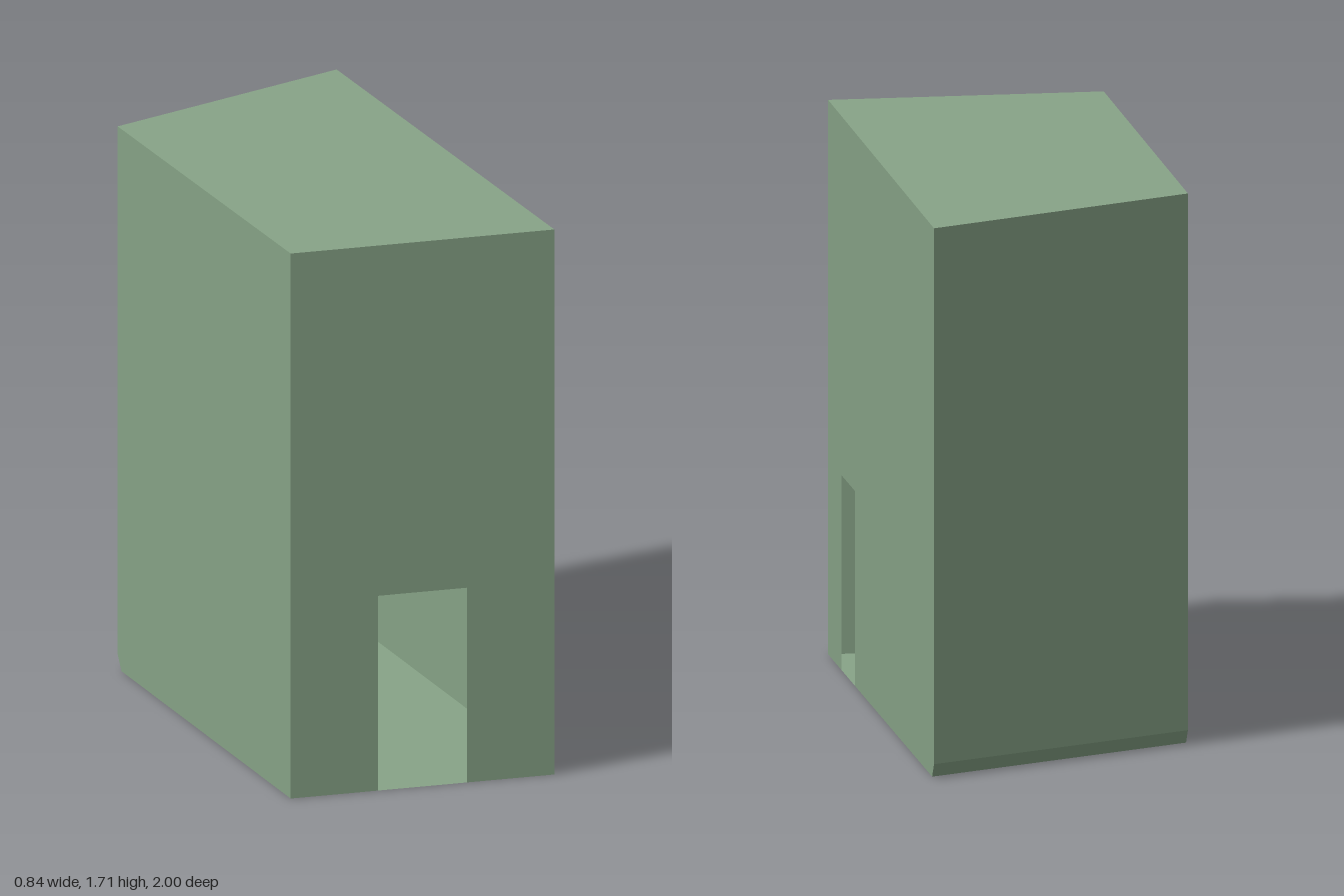
import * as THREE from 'three';

const W = 0.422;                 // half width
const FRONT = 1, BEVEL_Y = 0.045, BEVEL_Z = 0.035;

// The back wall runs at a slant, the roof falls slightly towards the back
const backZ = x => -0.795 - 0.205 * x / W;
const roofY = z => 1.701 + 0.006 * z;

const material = new THREE.MeshStandardMaterial({
  color: 0x87a387, side: THREE.DoubleSide, flatShading: true,
});

// Flat panel: a 2D outline whose points are placed in space by a rule
function panel(name, outline, place) {
  const shape = new THREE.Shape(outline.map(([u, v]) => new THREE.Vector2(u, v)));
  const geometry = new THREE.ShapeGeometry(shape);
  const p = geometry.attributes.position;
  for (let i = 0; i < p.count; i++) p.setXYZ(i, ...place(p.getX(i), p.getY(i)));
  geometry.computeVertexNormals();
  const mesh = new THREE.Mesh(geometry, material);
  mesh.name = name;
  return mesh;
}

// Bottom edge from u0 to u1 with a doorway cut up from the ground
const doorway = (a, b, h) => [[a, 0], [a, h], [b, h], [b, 0]];

// Side wall outline in (z, y), with the bevelled lower back corner
function sideOutline(x, door = []) {
  const b = backZ(x);
  return [
    [b, BEVEL_Y], [b + BEVEL_Z, 0], ...door,
    [FRONT, 0], [FRONT, roofY(FRONT)], [b, roofY(b)],
  ];
}

export function createModel() {
  const group = new THREE.Group();
  group.name = 'building';

  // Front wall with its doorway
  const top = roofY(FRONT);
  group.add(panel('frontWall',
    [[-W, 0], ...doorway(-0.142, 0.142, 0.61), [W, 0], [W, top], [-W, top]],
    (u, v) => [u, v, FRONT]));

  // Side walls; only the left one (+x) has a doorway
  group.add(panel('leftWall',
    sideOutline(W, doorway(0.49, 0.745, 0.6)).map(([z, y]) => [-z, y]),
    (u, v) => [W, v, -u]));
  group.add(panel('rightWall', sideOutline(-W), (u, v) => [-W, v, u]));

  // Slanted back wall and the bevel along its foot
  group.add(panel('backWall',
    [[-W, BEVEL_Y], [W, BEVEL_Y], [W, roofY(backZ(-W))], [-W, roofY(backZ(W))]],
    (u, v) => [-u, v, backZ(-u)]));
  group.add(panel('backBevel',
    [[-W, 0], [W, 0], [W, BEVEL_Y], [-W, BEVEL_Y]],
    (u, v) => [-u, v, backZ(-u) + BEVEL_Z * (1 - v / BEVEL_Y)]));

  // Roof and floor
  group.add(panel('roof',
    [[-W, -FRONT], [W, -FRONT], [W, -backZ(W)], [-W, -backZ(-W)]],
    (u, v) => [u, roofY(-v), -v]));
  group.add(panel('floor',
    [[-W, backZ(-W) + BEVEL_Z], [W, backZ(W) + BEVEL_Z], [W, FRONT], [-W, FRONT]],
    (u, v) => [u, 0, v]));

  return group;
}
